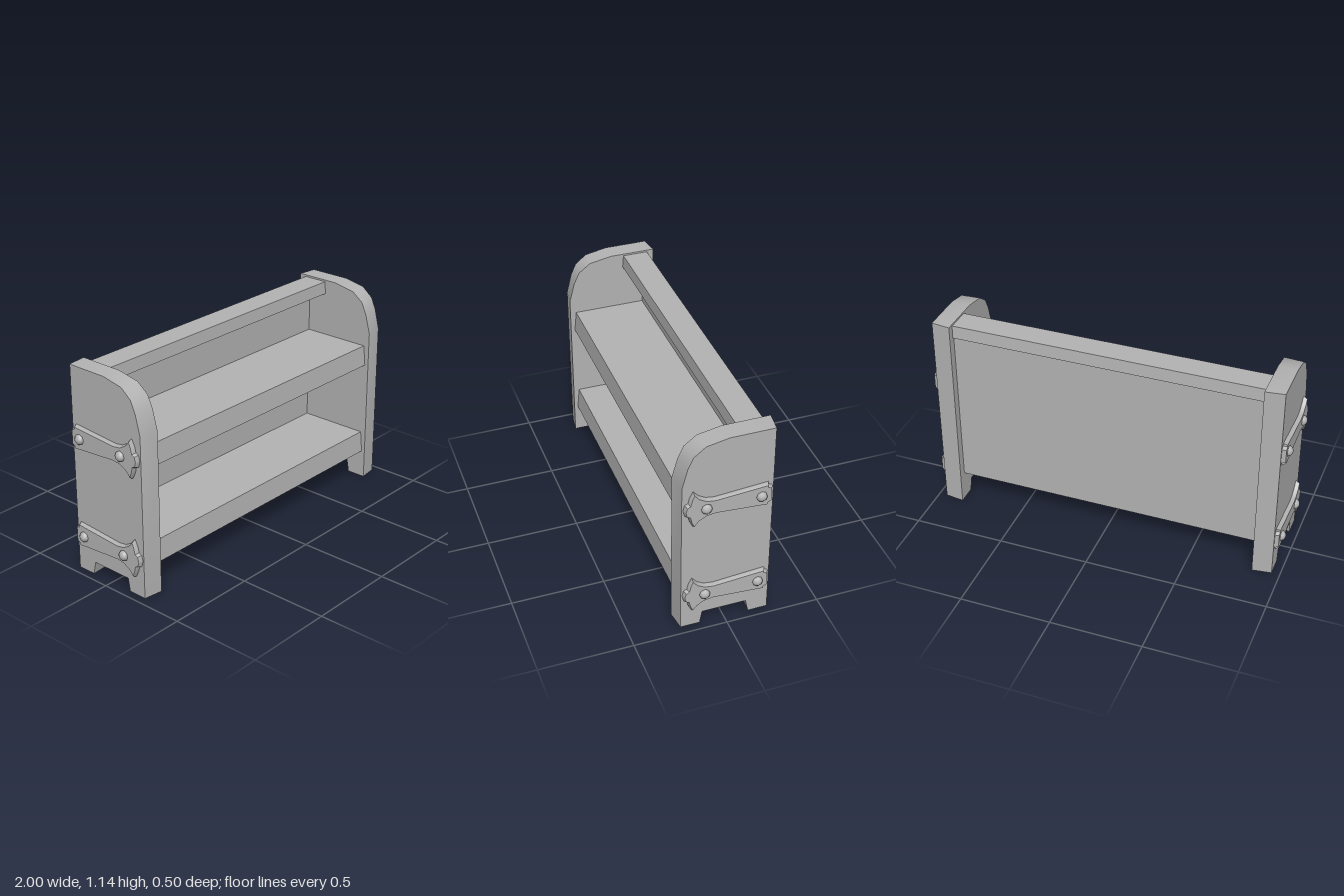
import * as THREE from 'three';
import { toCreasedNormals } from 'three/addons/utils/BufferGeometryUtils.js';

export function createModel() {
  const model = new THREE.Group();
  model.name = 'bookshelf';
  const grey = new THREE.MeshStandardMaterial({ color: 0xb4b4b4 });
  grey.name = 'plain grey';

  const add = (parent, name, geometry) => {
    const mesh = new THREE.Mesh(geometry, grey);
    mesh.name = name;
    parent.add(mesh);
    return mesh;
  };

  // Extrudes a [z, y] outline outward along x; s = 1 towards +x, -1 towards -x
  const extrudeX = (points, s, options) => {
    const shape = new THREE.Shape(points.map(([z, y]) => new THREE.Vector2(-s * z, y)));
    const geometry = new THREE.ExtrudeGeometry(shape, { bevelEnabled: false, ...options });
    return geometry.rotateY((s * Math.PI) / 2);
  };

  // Boards between the sides, with slightly leaning front and back edges
  const board = (name, y0, y1, backLow, backHigh, frontLow, frontHigh) => {
    const outline = [[backLow, y0], [frontLow, y0], [frontHigh, y1], [backHigh, y1]];
    const geometry = extrudeX(outline, 1, { depth: 1.71 }).translate(-0.855, 0, 0);
    add(model, name, toCreasedNormals(geometry, 0.3));
  };
  board('bottomShelf', 0.16, 0.28, -0.2, -0.2, 0.23, 0.218);
  board('middleShelf', 0.7, 0.815, -0.19, -0.19, 0.228, 0.216);
  board('topRail', 1.06, 1.13, -0.218, -0.212, -0.067, -0.073);
  board('backPanel', 0.178, 1.07, -0.204, -0.204, -0.18, -0.18);

  // Side panel outline: rounded top front corner, notch between the feet
  const panelOutline = [
    [0.25, 0], [0.25, 0.895], [0.22, 1.005], [0.19, 1.068], [0.125, 1.117], [0, 1.14],
    [-0.25, 1.14], [-0.25, 0], [-0.14, 0], [-0.124, 0.072], [0.127, 0.072], [0.14, 0],
  ];

  // Strap outline: upper half from the flared front tip to the back, then mirrored
  const upper = [
    [0.222, 0.032], [0.205, 0.04], [0.198, 0.07], [0.18, 0.106], [0.152, 0.074], [0.115, 0.053],
    [0.07, 0.046], [-0.208, 0.066], [-0.208, 0.052], [-0.228, 0.042],
  ];
  const lower = upper.map(([z, y]) => [z, -y]).reverse();
  const strapOutline = [[0.23, 0], ...upper, ...lower];

  for (const s of [1, -1]) {
    const side = new THREE.Group();
    side.name = s > 0 ? 'leftSide' : 'rightSide';
    model.add(side);

    // Panel narrows in depth towards its outer face
    const panel = extrudeX(panelOutline, s, { depth: 0.105 }).translate(s * 0.85, 0, 0);
    const pos = panel.attributes.position;
    for (let i = 0; i < pos.count; i++) {
      if (Math.abs(pos.getX(i)) > 0.9) pos.setZ(i, pos.getZ(i) * 0.945);
    }
    add(side, 'sidePanel', toCreasedNormals(panel, 0.6));

    // Two bevelled straps with domed bolts
    for (const y of [0.762, 0.212]) {
      const strap = extrudeX(strapOutline, s, {
        depth: 0.006, bevelEnabled: true, bevelThickness: 0.018, bevelSize: 0.008,
        bevelOffset: -0.008, bevelSegments: 1,
      }).translate(s * 0.953, y, 0);
      add(side, 'strap', toCreasedNormals(strap, 0.5));

      for (const z of [0.117, -0.168]) {
        const dome = new THREE.SphereGeometry(0.029, 8, 3, 0, Math.PI * 2, 0, Math.PI / 2);
        dome.scale(1, 0.85, 1).rotateZ((-s * Math.PI) / 2);
        add(side, 'bolt', dome).position.set(s * 0.9755, y, z);
      }
    }
  }
  return model;
}
